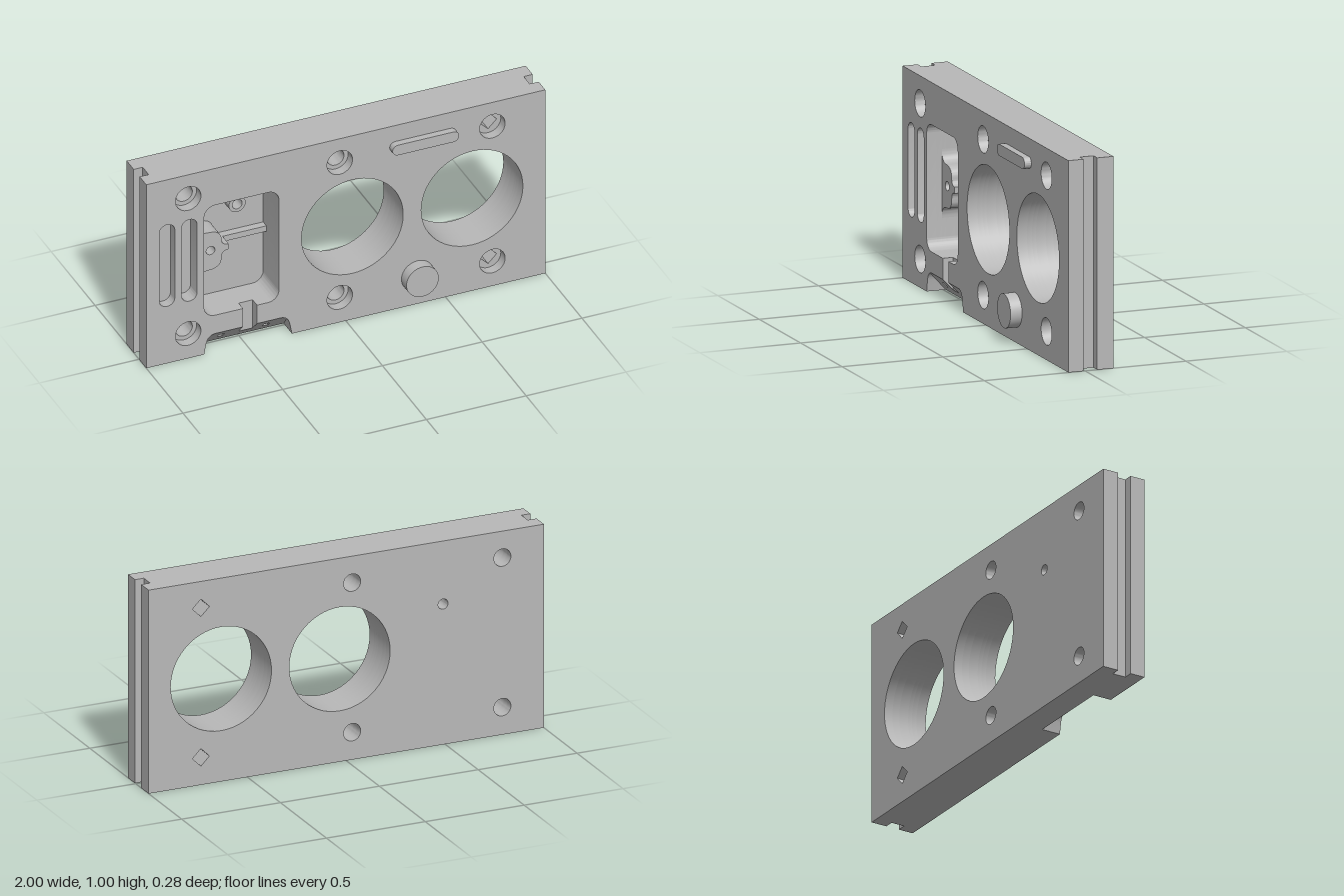
import * as THREE from 'three';
import { toCreasedNormals } from 'three/addons/utils/BufferGeometryUtils.js';

const steel = new THREE.MeshStandardMaterial({ color: 0xb8b8b8 });
steel.name = 'grey metal';

// Regular polygon or circle as a closed path
function ring(x, y, r, sides = 40, Type = THREE.Path) {
  const pts = [];
  for (let i = 0; i < sides; i++) {
    const a = (i / sides) * Math.PI * 2;
    pts.push(new THREE.Vector2(x + r * Math.cos(a), y + r * Math.sin(a)));
  }
  return new Type(pts).closePath();
}

// Slot with fully rounded ends, given by its bounding box
function slot(x0, x1, y0, y1, Type = THREE.Path) {
  const p = new Type();
  const r = Math.min(x1 - x0, y1 - y0) / 2;
  p.absarc(x1 - r, y1 - r, r, 0, Math.PI / 2);
  p.absarc(x0 + r, y1 - r, r, Math.PI / 2, Math.PI);
  p.absarc(x0 + r, y0 + r, r, Math.PI, Math.PI * 1.5);
  p.absarc(x1 - r, y0 + r, r, Math.PI * 1.5, Math.PI * 2);
  return p.closePath();
}

// Clockwise walk round the pocket, from the left to the right of the channel mouth
function walkPocket(p) {
  const [x0, x1, y0, y1, r] = [-0.71, -0.335, 0.2, 0.8, 0.055];
  const q = Math.PI / 2;
  p.absarc(x0 + r, y0 + r, r, 3 * q, 2 * q, true);
  p.absarc(x0 + r, y1 - r, r, 2 * q, q, true);
  p.absarc(x1 - r, y1 - r, r, q, 0, true);
  p.absarc(x1 - r, y0 + r, r, 0, -q, true);
}

function pocket() {
  const p = new THREE.Path();
  p.moveTo(-0.515, 0.2);
  walkPocket(p);
  p.lineTo(-0.445, 0.2);
  return p.closePath();
}

// Outer contour of one plate layer
function outline(w, notch, channel) {
  const s = new THREE.Shape();
  s.moveTo(w, 1).lineTo(-w, 1).lineTo(-w, 0);
  if (notch) {
    s.lineTo(-0.71, 0).lineTo(-0.7, 0.055).quadraticCurveTo(-0.69, 0.1, -0.65, 0.1);
    if (channel) {
      s.lineTo(-0.515, 0.1).lineTo(-0.515, 0.2);
      walkPocket(s);
      s.lineTo(-0.445, 0.2).lineTo(-0.445, 0.1);
    }
    s.lineTo(-0.33, 0.1).quadraticCurveTo(-0.29, 0.1, -0.28, 0.055).lineTo(-0.27, 0);
  }
  s.lineTo(w, 0);
  return s.closePath();
}

export function createModel() {
  const group = new THREE.Group();

  const add = (name, geo) => {
    const mesh = new THREE.Mesh(toCreasedNormals(geo, 0.5), steel);
    mesh.name = name;
    group.add(mesh);
  };
  const extrude = (name, shape, z0, z1, holes = []) => {
    shape.holes.push(...holes);
    const geo = new THREE.ExtrudeGeometry(shape, { depth: z1 - z0, bevelEnabled: false, curveSegments: 14 });
    add(name, geo.translate(0, 0, z0));
  };

  // Openings that pass through every layer
  const bores = () => [0.033, 0.633].map((x) => ring(x, 0.505, 0.255, 56));
  const bolts = (counterbore) => [-0.79, -0.03, 0.735].flatMap((x, i) =>
    [0.135, 0.87].map((y) => (counterbore ? ring(x, y, 0.064) : ring(x, y, 0.043, i === 2 ? 4 : 32))));
  const leftSlot = () => slot(-0.935, -0.857, 0.31, 0.755);
  const rightSlot = () => slot(-0.823, -0.745, 0.31, 0.755);

  // Plate, stacked from back to front; the narrow layers form the side grooves
  const FRONT = 0.083;
  extrude('backPlate', outline(1), -0.14, -0.097, [...bores(), ...bolts(), ring(-0.49, 0.69, 0.025)]);
  extrude('pocketPlate', outline(1), -0.097, -0.06, [...bores(), ...bolts(), pocket()]);
  extrude('grooveCore', outline(0.955), -0.06, -0.012, [...bores(), ...bolts(), pocket()]);
  extrude('grooveCoreFront', outline(0.955, true), -0.012, 0.008, [...bores(), ...bolts(), pocket()]);
  extrude('slotPlate', outline(1, true), 0.008, 0.033, [...bores(), ...bolts(), pocket(), rightSlot()]);
  extrude('frontPlate', outline(1, true, true), 0.033, FRONT,
    [...bores(), ...bolts(true), leftSlot(), rightSlot()]);

  // Sloping face of the bottom notch, in runs along x, with two pits and the channel
  const slope = [[-0.012, 0], [-0.012, 0.1], [FRONT, 0.1]];
  const pit = [...slope, [0.047, 0.062], [0.012, 0.062], [0.012, 0.04], [0.026, 0.04]];
  const channel = [[-0.012, 0], [-0.012, 0.1], [0.033, 0.1], [0.033, 0.047]];
  const runs = [
    [-0.71, -0.62, slope], [-0.62, -0.59, pit], [-0.59, -0.515, slope],
    [-0.515, -0.445, channel],
    [-0.445, -0.395, slope], [-0.395, -0.365, pit], [-0.365, -0.27, slope],
  ];
  for (const [x0, x1, pts] of runs) {
    const shape = new THREE.Shape(pts.map(([z, y]) => new THREE.Vector2(z, y)));
    const geo = new THREE.ExtrudeGeometry(shape, { depth: x1 - x0, bevelEnabled: false });
    add('notchSlope', geo.rotateY(-Math.PI / 2).translate(x1, 0, 0));
  }

  // Rounded island on the pocket's side wall, with fillets and a hole
  const island = new THREE.Shape();
  island.moveTo(-0.73, 0.34).lineTo(-0.71, 0.34)
    .quadraticCurveTo(-0.71, 0.4, -0.655, 0.4)
    .quadraticCurveTo(-0.59, 0.4, -0.59, 0.455)
    .quadraticCurveTo(-0.59, 0.49, -0.555, 0.49)
    .lineTo(-0.555, 0.52)
    .quadraticCurveTo(-0.59, 0.52, -0.59, 0.55)
    .quadraticCurveTo(-0.59, 0.605, -0.655, 0.605)
    .quadraticCurveTo(-0.71, 0.605, -0.71, 0.665)
    .lineTo(-0.73, 0.665).closePath();
  extrude('pocketIsland', island, -0.097, 0.008, [ring(-0.645, 0.505, 0.022, 24)]);

  // Low rib across the pocket
  add('pocketRib', new THREE.BoxGeometry(0.25, 0.03, 0.037).translate(-0.445, 0.505, -0.0785));

  // Hollow boss on the pocket floor
  extrude('pocketBoss', ring(-0.49, 0.69, 0.042, 32, THREE.Shape), -0.097, -0.04, [ring(-0.49, 0.69, 0.025, 32)]);

  // Raised details on the front
  extrude('raisedBar', slot(0.22, 0.553, 0.858, 0.913, THREE.Shape), FRONT - 0.01, 0.117);
  extrude('roundButton', ring(0.36, 0.153, 0.081, 40, THREE.Shape), FRONT - 0.01, 0.14);

  return group;
}
